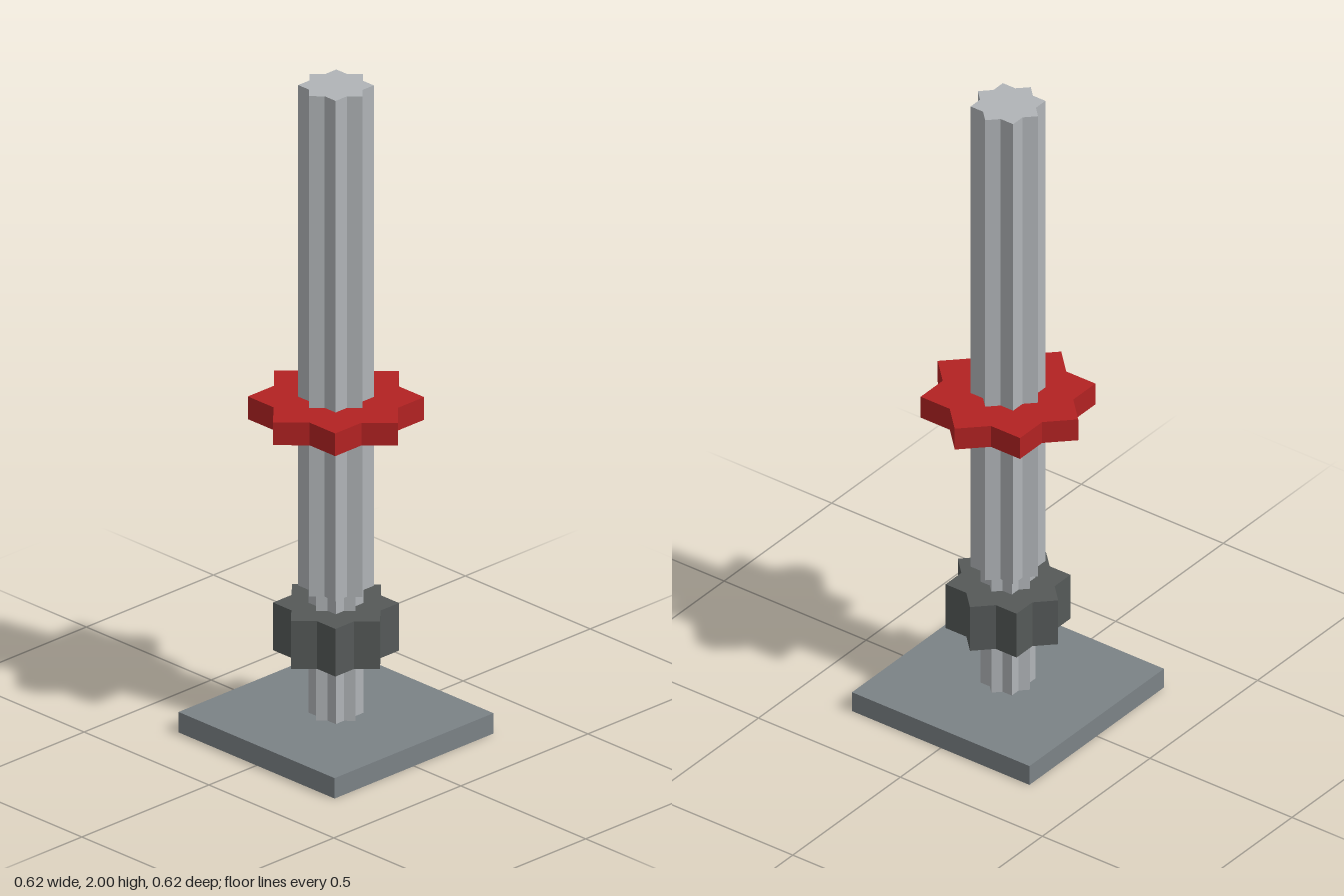
import * as THREE from 'three';

const paint = (name, color) => {
  const m = new THREE.MeshStandardMaterial({ color });
  m.name = name;
  return m;
};

// Eight-pointed star: the outline of two squares (half side h) turned 45 degrees apart
function starShape(h) {
  const tip = h * Math.SQRT2, notch = h / Math.cos(Math.PI / 8);
  const points = [];
  for (let i = 0; i < 16; i++) {
    const a = (i * Math.PI) / 8, r = i % 2 ? notch : tip;
    points.push(new THREE.Vector2(r * Math.cos(a), r * Math.sin(a)));
  }
  return new THREE.Shape(points);
}

// Upright star prism from y0 to y1
function starPrism(name, h, y0, y1, material) {
  const geo = new THREE.ExtrudeGeometry(starShape(h), { depth: y1 - y0, bevelEnabled: false });
  geo.rotateX(-Math.PI / 2);
  geo.translate(0, y0, 0);
  const mesh = new THREE.Mesh(geo, material);
  mesh.name = name;
  return mesh;
}

export function createModel() {
  const steel = paint('light steel', 0xb0b4b7);
  const slate = paint('slate grey', 0x7b8286);
  const dark = paint('dark grey', 0x555958);
  const red = paint('red', 0xb22222);

  const model = new THREE.Group();
  model.name = 'starColumn';

  // Square foot
  const base = new THREE.Mesh(new THREE.BoxGeometry(0.625, 0.063, 0.625), slate);
  base.name = 'basePlate';
  base.position.y = 0.0315;

  model.add(
    base,
    starPrism('lowerStem', 0.055, 0.063, 0.455, steel),
    starPrism('collar', 0.125, 0.255, 0.402, dark),
    starPrism('shaft', 0.075, 0.455, 2, steel),
    starPrism('redRing', 0.175, 0.968, 1.038, red),
  );
  return model;
}
